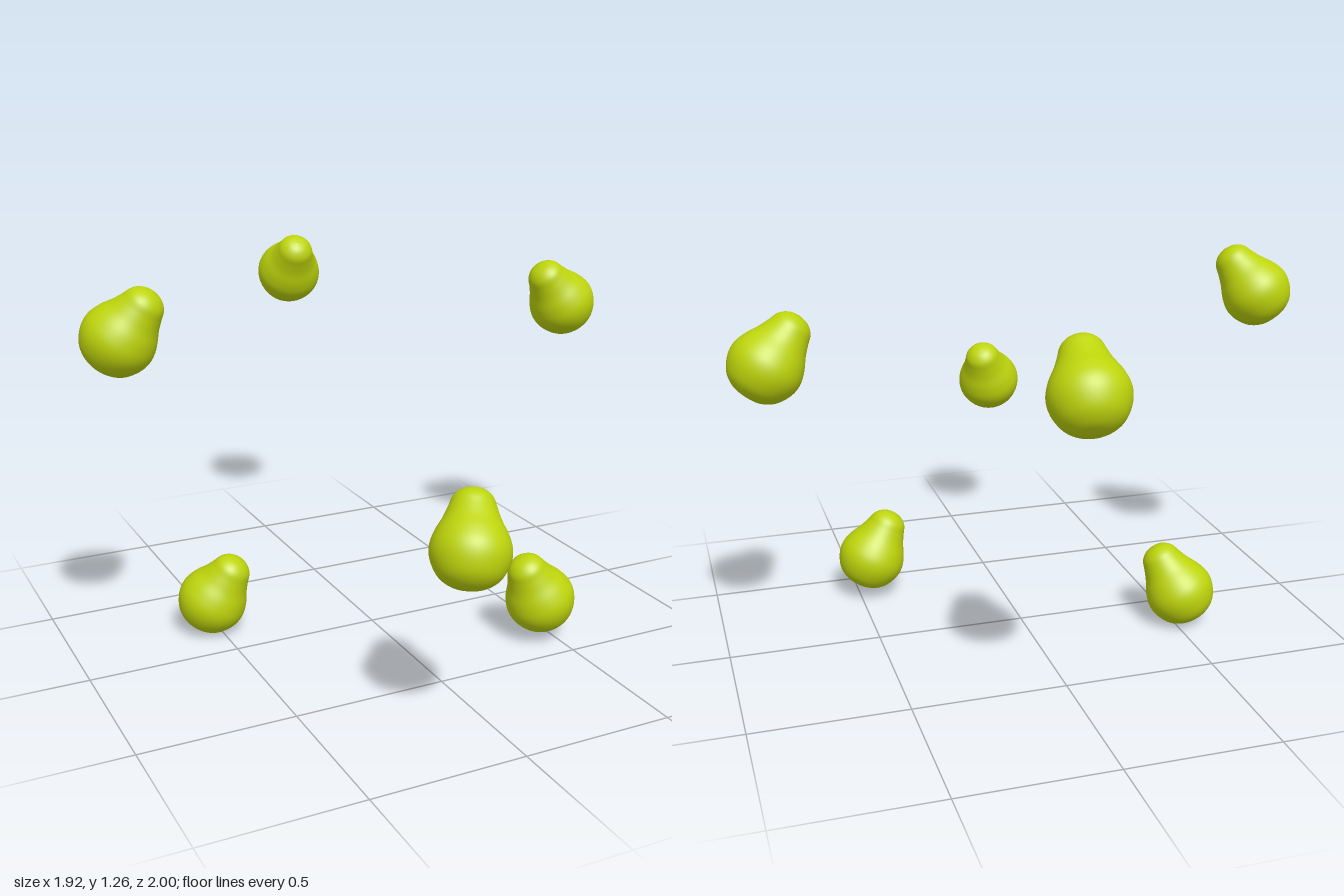
import * as THREE from 'three';

export function createModel() {
  const group = new THREE.Group();
  group.name = 'floatingPears';
  const skin = new THREE.MeshStandardMaterial({ color: 0xbdd40c });

  // Pear profile (radius, height along the axis), origin at the middle of the belly
  const profile = new THREE.SplineCurve([
    [0, -0.110], [0.045, -0.104], [0.085, -0.079], [0.110, -0.036], [0.116, 0.006],
    [0.104, 0.048], [0.083, 0.088], [0.069, 0.122], [0.057, 0.153], [0.032, 0.174], [0, 0.181],
  ].map(([r, h]) => new THREE.Vector2(r, h)));
  const points = profile.getPoints(48);
  points.forEach((p) => { p.x = Math.max(p.x, 0); });
  const geometry = new THREE.LatheGeometry(points, 48);

  // Belly centre and the direction in which the neck leans
  const pears = [
    { name: 'leftLowPear', at: [0.453, 0.145, 0.36], lean: [-0.055, 0.103, 0.005] },
    { name: 'leftHighPear', at: [0.839, 1.025, -0.155], lean: [-0.077, 0.098, 0.013] },
    { name: 'backPear', at: [0.08, 1.077, -0.885], lean: [-0.01, 0.088, 0.088] },
    { name: 'frontPear', at: [-0.134, 0.618, 0.885], lean: [0.038, 0.1, -0.058] },
    { name: 'rightLowPear', at: [-0.52, 0.117, -0.175], lean: [0.052, 0.102, 0.038] },
    { name: 'rightHighPear', at: [-0.848, 1.105, 0.025], lean: [0.067, 0.1, 0.043] },
  ];
  const up = new THREE.Vector3(0, 1, 0);
  for (const { name, at, lean } of pears) {
    const pear = new THREE.Mesh(geometry, skin);
    pear.name = name;
    pear.position.set(...at);
    pear.quaternion.setFromUnitVectors(up, new THREE.Vector3(...lean).normalize());
    group.add(pear);
  }
  return group;
}
